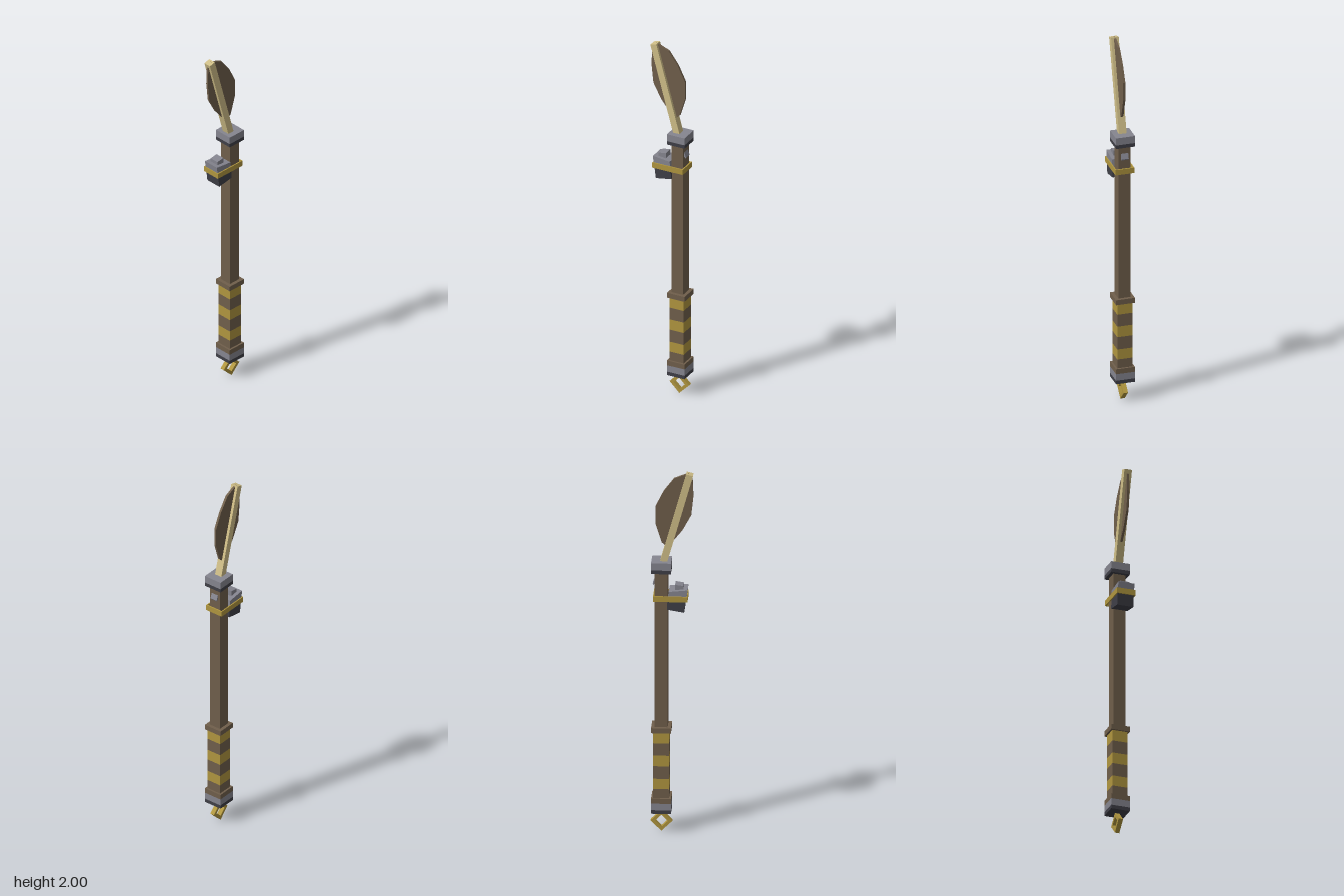
import * as THREE from 'three';

const mat = (name, color) => {
  const m = new THREE.MeshStandardMaterial({ color });
  m.name = name;
  return m;
};

export function createModel() {
  const wood = mat('wood', 0x705f4b);
  const gold = mat('gold', 0xb0963f);
  const steel = mat('steel', 0x85858f);
  const dark = mat('darkSteel', 0x3f3f47);
  const pale = mat('paleGold', 0xd0bf88);

  const CX = 0.053; // shaft axis
  const group = new THREE.Group();
  group.name = 'staff';

  const add = (name, geometry, material) => {
    const mesh = new THREE.Mesh(geometry, material);
    mesh.name = name;
    group.add(mesh);
    return mesh;
  };

  // Square section centred on the shaft axis
  const section = (name, half, y0, y1, material) => {
    const g = new THREE.BoxGeometry(half * 2, y1 - y0, half * 2);
    g.translate(CX, (y0 + y1) / 2, 0);
    return add(name, g, material);
  };

  // Outline in the front plane, extruded evenly about z = 0
  const outline = (pts) => pts.map(([x, y]) => new THREE.Vector2(x, y));
  const plate = (name, pts, halfZ, material, hole) => {
    const shape = new THREE.Shape(outline(pts));
    if (hole) shape.holes.push(new THREE.Path(outline(hole)));
    const g = new THREE.ExtrudeGeometry(shape, { depth: halfZ * 2, bevelEnabled: false });
    g.translate(0, 0, -halfZ);
    return add(name, g, material);
  };
  const rect = (x0, x1, y0, y1) => [[x0, y0], [x1, y0], [x1, y1], [x0, y1]];
  const diamond = (r, y) => [[CX, y - r], [CX + r, y], [CX, y + r], [CX - r, y]];

  // Shaft with its collars and caps
  section('shaft', 0.033, 0.58, 1.46, wood);
  section('gripCollar', 0.051, 0.56, 0.588, wood);
  section('topCapLower', 0.051, 1.45, 1.47, dark);
  section('topCapUpper', 0.051, 1.47, 1.51, steel);
  section('pommelCollar', 0.051, 0.167, 0.195, wood);
  section('pommelUpper', 0.051, 0.13, 0.167, steel);
  section('pommelLower', 0.051, 0.11, 0.13, dark);

  // Grip with alternating bands
  const cuts = [0.195, 0.245, 0.302, 0.372, 0.432, 0.5, 0.56];
  for (let i = 0; i < cuts.length - 1; i++) {
    section(i % 2 ? 'gripBand' : 'gripWood', 0.041, cuts[i], cuts[i + 1], i % 2 ? gold : wood);
  }

  // Diamond ring under the pommel
  plate('ring', diamond(0.056, 0.056), 0.012, gold, diamond(0.033, 0.056));

  // Hammer block strapped beside the shaft
  plate('blockLower', [[-0.066, 1.235], [0.022, 1.25], [0.02, 1.3], [-0.074, 1.3]], 0.044, dark);
  plate('blockUpper', [[-0.076, 1.3], [0.02, 1.3], [0.014, 1.349], [-0.083, 1.36]], 0.044, steel);
  plate('blockKnob', [[-0.061, 1.352], [-0.018, 1.347], [-0.018, 1.382], [-0.061, 1.376]], 0.025, steel);

  // Strap: a thin rectangular frame lying flat
  const strap = plate('strap', rect(-0.083, 0.094, -0.051, 0.051), 0.015, gold,
    rect(-0.077, 0.087, -0.045, 0.045));
  strap.rotation.x = -Math.PI / 2;
  strap.position.y = 1.31;

  // Small catch on the opposite side of the shaft
  plate('catch', [[0.082, 1.42], [0.082, 1.392], [0.093, 1.375], [0.097, 1.382]], 0.02, steel);

  // Leaning quill and the leaf-shaped vane it carries
  const quill = add('quill', new THREE.BoxGeometry(0.036, 0.535, 0.041), pale);
  quill.position.set(-0.022, 1.736, 0);
  quill.rotation.z = 0.268;
  plate('vane', [
    [-0.085, 1.997], [-0.012, 1.968], [0.042, 1.895], [0.083, 1.81], [0.083, 1.71],
    [0.052, 1.61], [0.026, 1.585], [0.004, 1.605], [-0.055, 1.68], [-0.1, 1.765],
    [-0.111, 1.87], [-0.107, 1.965],
  ], 0.006, wood);

  return group;
}
